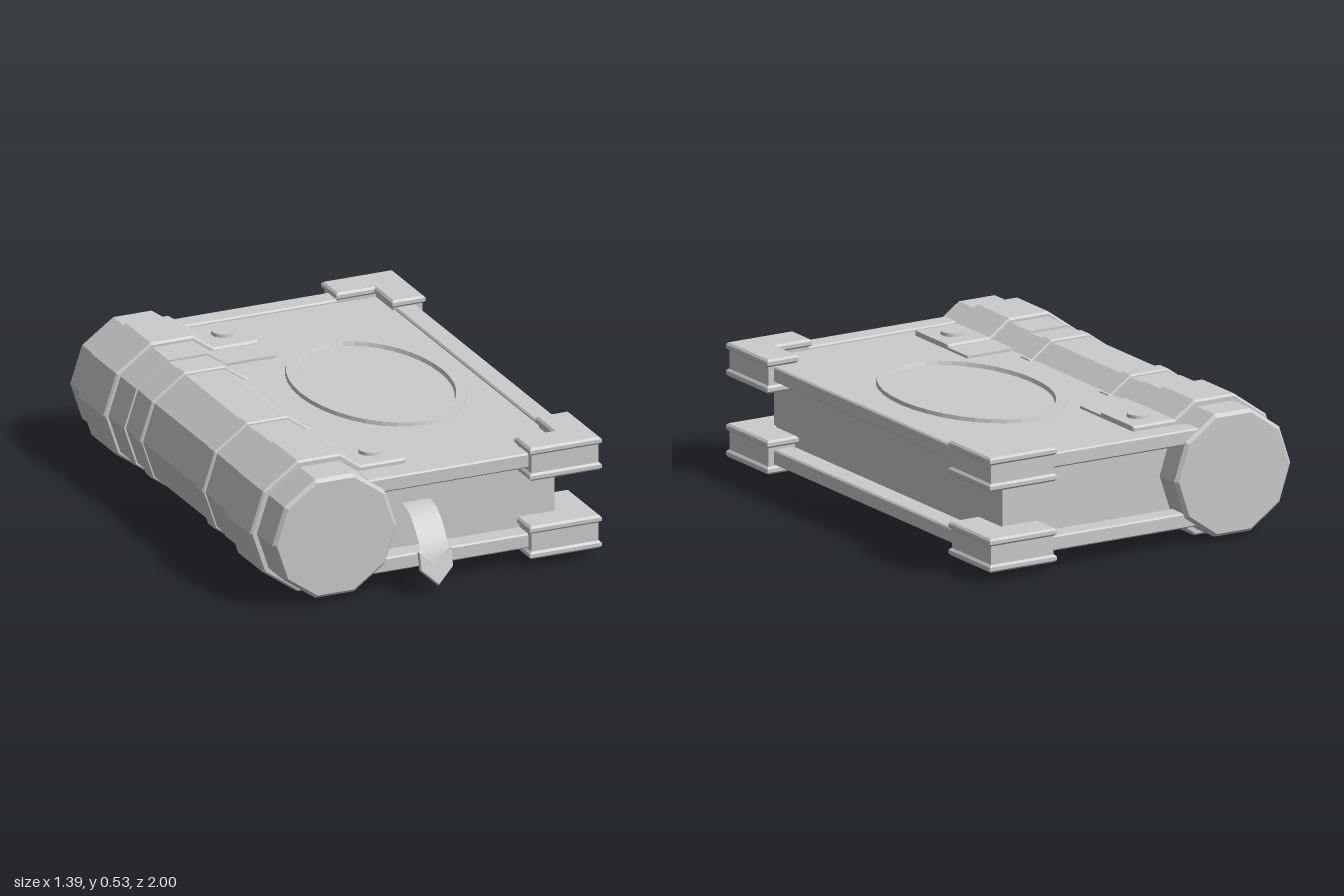
import * as THREE from 'three';

const SPINE_X = -0.41, SPINE_Y = 0.268, MID_Y = 0.27, MID_Z = -0.055;
const grey = new THREE.MeshStandardMaterial({ color: 0xcccccc, flatShading: true });
const thin = new THREE.MeshStandardMaterial({ color: 0xcccccc, side: THREE.DoubleSide });

function add(parent, name, geometry, material = grey) {
  const mesh = new THREE.Mesh(geometry, material);
  mesh.name = name;
  parent.add(mesh);
  return mesh;
}

// Extrude an outline to an exact depth, with small bevels inside the outline
function prism(points, depth, bevel = 0) {
  const shape = new THREE.Shape(points.map(([x, y]) => new THREE.Vector2(x, y)));
  return new THREE.ExtrudeGeometry(shape, {
    depth: depth - 2 * bevel, bevelEnabled: bevel > 0, bevelSegments: 1,
    bevelSize: bevel, bevelThickness: bevel, bevelOffset: -bevel,
  }).translate(0, 0, bevel);
}

// Outline given in x, z and raised from y0 to y1
function slab(points, y0, y1, bevel) {
  return prism(points.map(([x, z]) => [x, -z]), y1 - y0, bevel).rotateX(-Math.PI / 2).translate(0, y0, 0);
}

const rect = (x0, x1, z0, z1) => [[x0, z0], [x1, z0], [x1, z1], [x0, z1]];

// Ten-sided section point of the spine
const ten = (r, k) => [SPINE_X + r * Math.cos(k * Math.PI / 5), SPINE_Y + 0.98 * r * Math.sin(k * Math.PI / 5)];

// Strap around the spine whose two tails lie on the covers
function strap(r, tailY, tailX, z0, z1, bevel) {
  const [ax, ay] = ten(r, 2), [bx, by] = ten(r, 1);
  const kinkX = ax + (bx - ax) * (ay - tailY) / (ay - by);
  const points = [[tailX, tailY], [kinkX, tailY]];
  for (let k = 2; k <= 8; k++) points.push(ten(r, k));
  points.push([kinkX, 2 * SPINE_Y - tailY], [tailX, 2 * SPINE_Y - tailY]);
  return prism(points, z1 - z0, bevel).translate(0, 0, z0);
}

// L-shaped corner outline; sz picks the front or back corner, d insets it
function cornerOutline(sz, d) {
  return [[0.395 + d, 0.95 - d], [0.695 - d, 0.95 - d], [0.695 - d, 0.65 + d],
    [0.555 + d, 0.65 + d], [0.555 + d, 0.81 + d], [0.395 + d, 0.81 + d]]
    .map(([x, z]) => [x, MID_Z + sz * z]);
}

function createCover(name) {
  const cover = new THREE.Group();
  cover.name = name;
  add(cover, 'coverPanel', slab(rect(-0.3, 0.6, -0.94, 0.83), 0.414, 0.453, 0));
  // Raised rim on three sides
  add(cover, 'frontRim', slab(rect(-0.267, 0.66, 0.772, 0.857), 0.404, 0.464, 0.006));
  add(cover, 'backRim', slab(rect(-0.267, 0.66, -0.967, -0.882), 0.404, 0.464, 0.006));
  add(cover, 'foreEdgeRim', slab(rect(0.574, 0.66, -0.967, 0.857), 0.404, 0.464, 0.006));
  // Corner guards: two flanges with a waist between
  for (const sz of [-1, 1]) {
    const guard = new THREE.Group();
    guard.name = sz > 0 ? 'frontCornerGuard' : 'backCornerGuard';
    add(guard, 'guardTopFlange', slab(cornerOutline(sz, 0), 0.467, 0.497, 0.008));
    add(guard, 'guardWaist', slab(cornerOutline(sz, 0.01), 0.385, 0.475, 0));
    add(guard, 'guardLowerFlange', slab(cornerOutline(sz, 0), 0.363, 0.393, 0.008));
    cover.add(guard);
  }
  return cover;
}

export function createModel() {
  const book = new THREE.Group();
  book.name = 'book';

  // Page block
  add(book, 'pages', slab(rect(-0.4, 0.553, -0.867, 0.775), 0.122, 0.418, 0));

  // Covers: the lower one is the upper one turned over about the long axis of symmetry
  book.add(createCover('topCover'));
  const lower = createCover('bottomCover');
  lower.rotation.x = Math.PI;
  lower.position.set(0, 2 * MID_Y, 2 * MID_Z);
  book.add(lower);

  // Ten-sided spine
  const section = [];
  for (let k = 0; k < 10; k++) section.push(ten(0.26, k));
  add(book, 'spine', prism(section, 1.862, 0.013).translate(0, 0, -0.984));

  // Mirrored straps, underlays, ribs and studs
  for (const s of [-1, 1]) {
    const spanned = (r, y, x, a, b, bevel) => {
      const z = [MID_Z - 0.005 + s * a, MID_Z - 0.005 + s * b].sort((p, q) => p - q);
      return strap(r, y, x, z[0], z[1], bevel);
    };
    add(book, 'strap', spanned(0.287, 0.473, -0.045, 0.547, 0.786, 0.008));
    add(book, 'strapUnderlay', spanned(0.268, 0.463, -0.045, 0.404, 0.56, 0));
    add(book, 'spineRib', spanned(0.272, 0.458, -0.225, 0.25, 0.318, 0.006));
    const stud = add(book, 'stud', new THREE.CylinderGeometry(0.044, 0.048, 0.026, 24));
    stud.position.set(-0.142, 0.473, MID_Z - 0.005 + s * 0.669);
  }

  // Oval ring on the top cover: a turned profile stretched along z by a constant offset
  const profile = [[0.32, 0.445], [0.314, 0.468], [0.276, 0.468], [0.266, 0.445]];
  const ring = new THREE.LatheGeometry(profile.map(([x, y]) => new THREE.Vector2(x, y)), 36);
  const p = ring.attributes.position;
  for (let i = 0; i < p.count; i++) {
    const r = Math.hypot(p.getX(i), p.getZ(i));
    p.setZ(i, p.getZ(i) * (1 + 0.144 / r));
  }
  add(book, 'ovalRing', ring.translate(0.19, 0, -0.06));

  // Ribbon bookmark hanging out of the front of the pages
  const path = new THREE.CatmullRomCurve3([[0.313, 0.74], [0.315, 0.8], [0.3, 0.85], [0.245, 0.91], [0.175, 0.957], [0.115, 0.975]]
    .map(([y, z]) => new THREE.Vector3(0, y, z)));
  const ribbon = new THREE.PlaneGeometry(0.118, 1, 1, 10);
  const rp = ribbon.attributes.position;
  for (let i = 0; i < rp.count; i++) {
    const q = path.getPoint(0.5 - rp.getY(i));
    rp.setXYZ(i, rp.getX(i) - 0.031, q.y, q.z);
  }
  ribbon.computeVertexNormals();
  add(book, 'ribbon', ribbon, thin);

  // Chevron tag on the ribbon end
  const tag = add(book, 'ribbonTag', prism([[-0.068, 0], [0, -0.05], [0.068, 0], [0.068, -0.073], [0, -0.138], [-0.068, -0.073]], 0.02, 0.004));
  tag.position.set(-0.033, 0.177, 0.945);
  tag.rotation.x = -0.245;

  return book;
}
